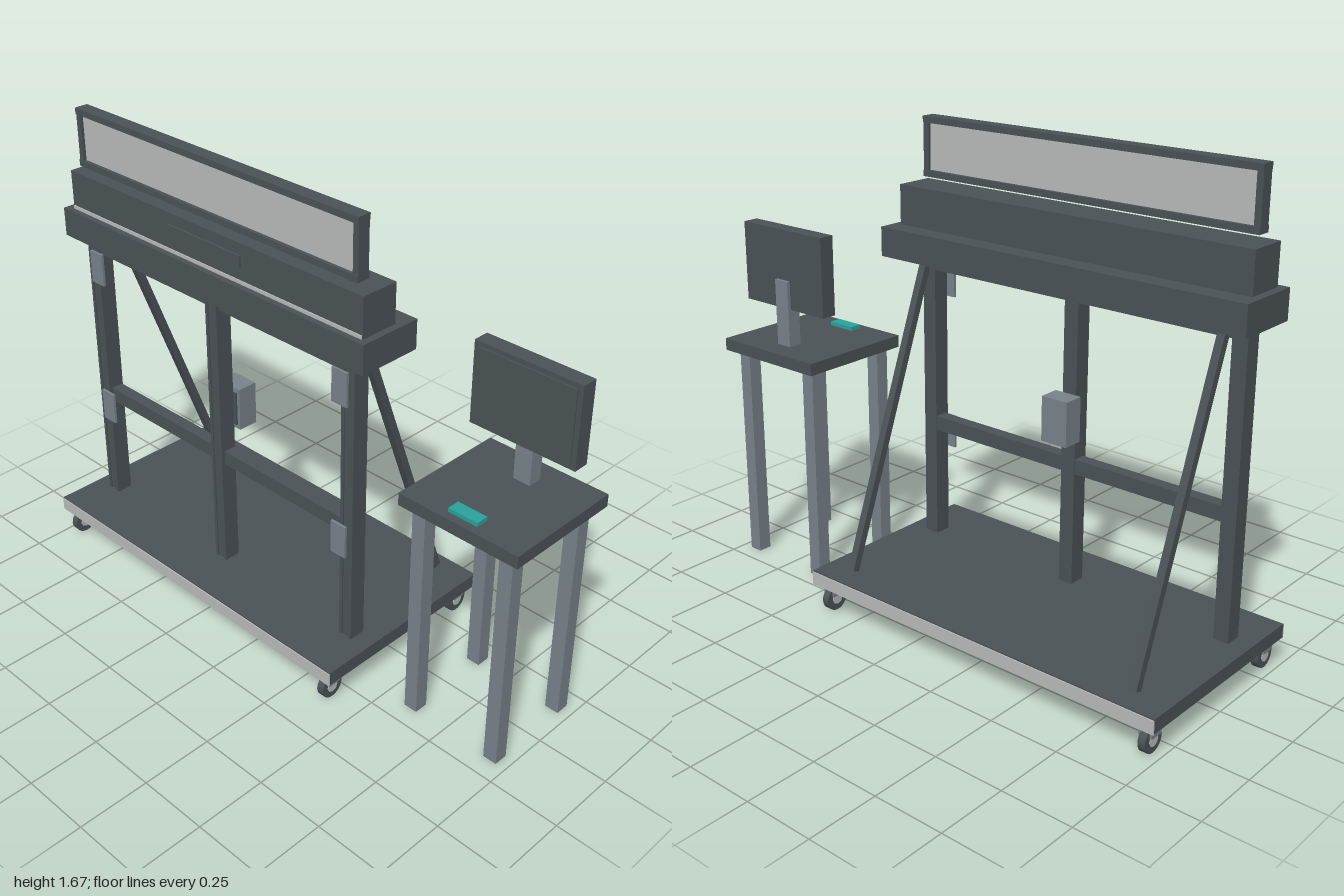
import * as THREE from 'three';

const material = (name, color) => {
  const m = new THREE.MeshStandardMaterial({ color });
  m.name = name;
  return m;
};

export function createModel() {
  const dark = material('dark grey', 0x4a5356);
  const steel = material('steel grey', 0x78838a);
  const pale = material('pale grey', 0xb8bcba);
  const teal = material('teal', 0x2aa39c);
  const model = new THREE.Group();
  model.name = 'workstation';

  const group = (name, parent = model) => {
    const g = new THREE.Group();
    g.name = name;
    parent.add(g);
    return g;
  };
  // Box given by its extents on each axis
  const box = (parent, name, mat, [x0, x1], [y0, y1], [z0, z1]) => {
    const mesh = new THREE.Mesh(new THREE.BoxGeometry(x1 - x0, y1 - y0, z1 - z0), mat);
    mesh.position.set((x0 + x1) / 2, (y0 + y1) / 2, (z0 + z1) / 2);
    mesh.name = name;
    parent.add(mesh);
    return mesh;
  };
  const around = (c, half) => [c - half, c + half];

  // Rolling base with pale front and back edges
  const base = group('base');
  box(base, 'platform', dark, [-1, 0.422], [0.1, 0.15], [-0.367, 0.367]);
  box(base, 'frontEdge', pale, [-1, 0.422], [0.098, 0.145], [0.366, 0.371]);
  box(base, 'backEdge', pale, [-1, 0.422], [0.098, 0.145], [-0.371, -0.366]);

  // Casters at the four corners
  for (const x of [-0.954, 0.372]) for (const z of [-0.318, 0.318]) {
    const caster = group('caster', base);
    caster.position.set(x, 0, z);
    box(caster, 'casterMount', steel, around(0, 0.029), [0.085, 0.1], around(0, 0.029));
    for (const s of [-1, 1])
      box(caster, 'casterFork', steel, around(s * 0.02, 0.004), [0.06, 0.09], around(0, 0.025));
    const roll = (name, mat, r, w, sides) => {
      const mesh = new THREE.Mesh(new THREE.CylinderGeometry(r, r, w, sides), mat);
      mesh.rotation.z = Math.PI / 2;
      mesh.position.y = 0.044;
      mesh.name = name;
      caster.add(mesh);
    };
    roll('wheel', dark, 0.044, 0.026, 24);
    roll('wheelHub', pale, 0.022, 0.032, 8);
  }

  // Upright frame: posts with raised front ribs, and two cross rails
  const frame = group('frame');
  for (const x of [-0.906, -0.29, 0.326]) {
    box(frame, 'post', dark, around(x, 0.027), [0.15, 1.2], [0.137, 0.193]);
    for (const s of [-1, 1])
      box(frame, 'postRib', dark, around(x + s * 0.021, 0.006), [0.15, 1.2], [0.193, 0.198]);
  }
  box(frame, 'topRail', dark, [-0.88, 0.3], [1.148, 1.2], [0.13, 0.185]);
  box(frame, 'middleRail', dark, [-0.88, 0.3], [0.555, 0.607], [0.14, 0.185]);
  for (const x of [-0.879, 0.298]) for (const y of [0.537, 1.1])
    box(frame, 'jointPlate', steel, around(x, 0.032), around(y, 0.06), [0.199, 0.208]);

  // Slanted rear braces
  const top = new THREE.Vector2(0.1, 1.22), foot = new THREE.Vector2(-0.297, 0.165);
  const length = top.distanceTo(foot);
  for (const x of [-0.881, 0.295]) {
    const brace = box(frame, 'brace', dark, around(x, 0.0135), around(0, length / 2), around(0, 0.0135));
    brace.position.set(x, (top.y + foot.y) / 2, (top.x + foot.x) / 2);
    brace.rotation.x = Math.atan2(top.x - foot.x, top.y - foot.y);
  }

  // Control box behind the centre post
  const control = group('controlBox');
  box(control, 'controlHousing', steel, [-0.341, -0.24], [0.68, 0.836], [0.056, 0.13]);
  box(control, 'controlPanel', dark, [-0.329, -0.252], [0.697, 0.82], [0.13, 0.137]);

  // Stepped header
  const header = group('header');
  box(header, 'lowerHeader', dark, [-1, 0.422], [1.2, 1.302], [0.004, 0.238]);
  box(header, 'upperHeader', dark, [-0.973, 0.397], [1.302, 1.44], [0.074, 0.213]);
  box(header, 'headerStrip', pale, [-0.97, 0.394], [1.302, 1.314], [0.212, 0.217]);
  box(header, 'headerHandle', dark, [-0.46, -0.12], [1.36, 1.4], [0.212, 0.22]);

  // Long framed screen above the header
  const sign = group('longScreen');
  box(sign, 'screenPanel', pale, [-0.92, 0.338], [1.48, 1.648], [0.16, 0.184]);
  for (const y of [1.473, 1.655])
    box(sign, 'screenBar', dark, [-0.94, 0.357], around(y, 0.011), [0.147, 0.197]);
  for (const x of [-0.929, 0.346])
    box(sign, 'screenSide', dark, around(x, 0.011), [1.484, 1.644], [0.15, 0.194]);

  // Side table
  const table = group('table');
  box(table, 'tableTop', dark, [0.55, 1], [0.796, 0.84], [-0.226, 0.21]);
  for (const x of [0.608, 0.939]) for (const z of [-0.166, 0.155])
    box(table, 'tableLeg', steel, around(x, 0.025), [0, 0.796], around(z, 0.025));

  // Monitor and small keypad on the table
  const monitor = group('monitor');
  box(monitor, 'monitorStand', steel, [0.743, 0.806], [0.84, 1.08], [-0.146, -0.095]);
  box(monitor, 'monitorCase', dark, [0.578, 0.97], [0.976, 1.262], [-0.134, -0.077]);
  box(monitor, 'monitorScreen', dark, [0.595, 0.953], [0.993, 1.245], [-0.077, -0.072]);
  box(model, 'keypad', teal, [0.718, 0.828], [0.84, 0.854], [0.135, 0.18]);

  return model;
}
